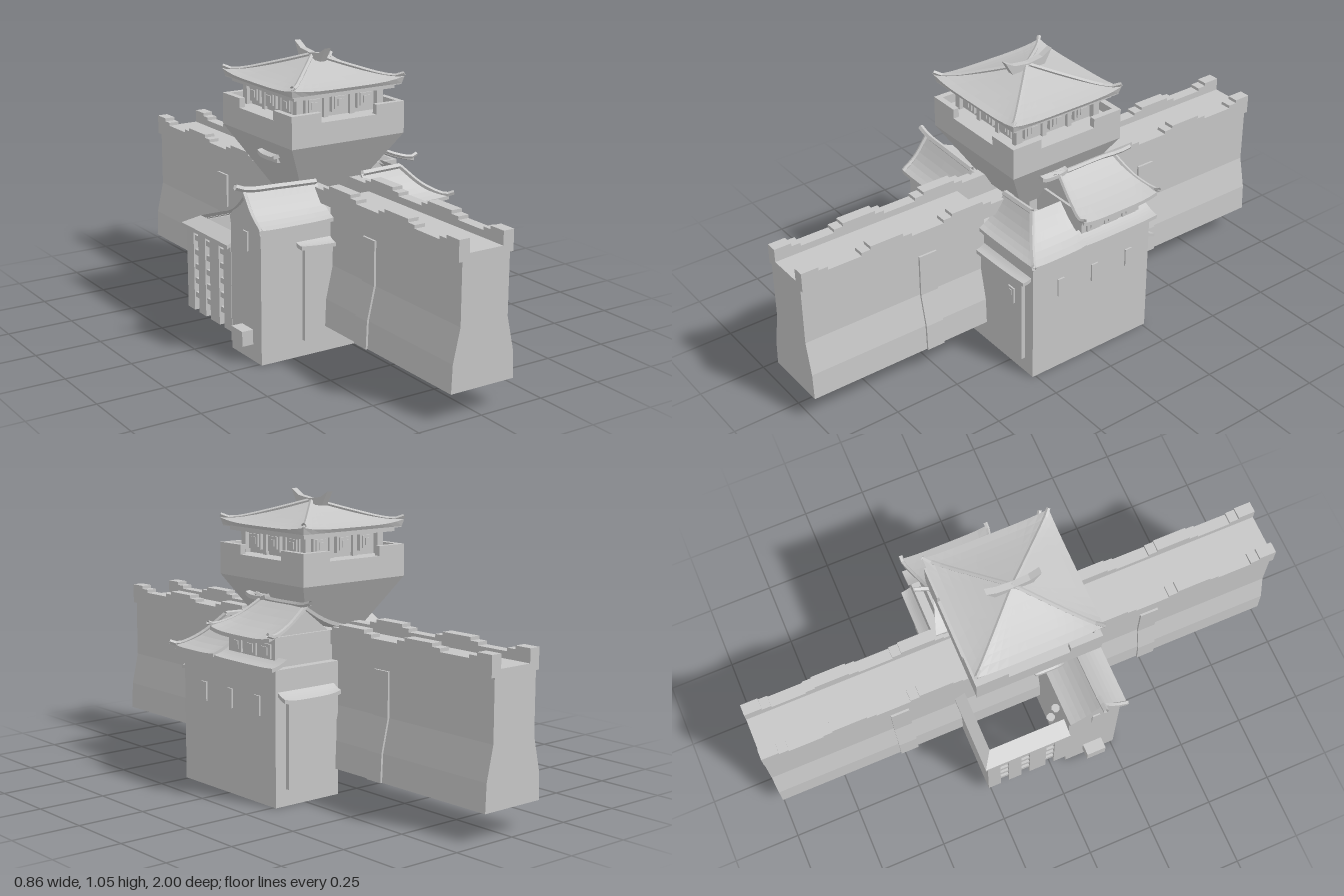
import * as THREE from 'three';

const stone = new THREE.MeshStandardMaterial({ color: 0xc6c6c6, side: THREE.DoubleSide, flatShading: true });
stone.name = 'grey stone';

export function createModel() {
  const model = new THREE.Group();
  model.name = 'gateTower';

  const add = (name, geo, parent = model) => {
    const m = new THREE.Mesh(geo, stone);
    m.name = name;
    parent.add(m);
    return m;
  };
  const box = (name, x0, x1, y0, y1, z0, z1, parent) => {
    const g = new THREE.BoxGeometry(x1 - x0, y1 - y0, z1 - z0);
    g.translate((x0 + x1) / 2, (y0 + y1) / 2, (z0 + z1) / 2);
    return add(name, g, parent);
  };
  // Box without its floor
  const shell = (...args) => {
    const g = box(...args).geometry, idx = Array.from(g.index.array);
    idx.splice(18, 6);
    g.setIndex(idx);
    g.clearGroups();
  };
  const group = (name) => {
    const g = new THREE.Group();
    g.name = name;
    model.add(g);
    return g;
  };
  // Grid surface from a rule f(u, v) -> [x, y, z]
  const sheet = (name, f, nu, nv, parent) => {
    const pos = [], idx = [];
    for (let j = 0; j <= nv; j++) for (let i = 0; i <= nu; i++) pos.push(...f(i / nu, j / nv));
    for (let j = 0; j < nv; j++) for (let i = 0; i < nu; i++) {
      const a = j * (nu + 1) + i, b = a + 1, c = a + nu + 1, d = c + 1;
      idx.push(a, b, d, a, d, c);
    }
    const g = new THREE.BufferGeometry();
    g.setAttribute('position', new THREE.Float32BufferAttribute(pos, 3));
    g.setIndex(idx);
    g.computeVertexNormals();
    return add(name, g, parent);
  };
  // Sagging roof slope of some thickness, from an eave edge to a ridge edge
  const slope = (name, e0, e1, r0, r1, sag = 0.018, lift = 0.008, parent) => {
    const at = (u, v, drop) => {
      const p = [0, 1, 2].map((k) => (e0[k] * (1 - u) + e1[k] * u) * (1 - v) + (r0[k] * (1 - u) + r1[k] * u) * v);
      p[1] += lift * (2 * u - 1) ** 4 * (1 - v) - sag * Math.sin(Math.PI * v) - drop;
      return p;
    };
    sheet(name, (u, v) => at(u, v, 0), 10, 6, parent);
    sheet(name + 'Underside', (u, v) => at(u, v, 0.014), 10, 6, parent);
    sheet(name + 'Edge', (u, v) => at(u, 0, 0.014 * v), 10, 1, parent);
    for (const s of [0, 1]) sheet(name + 'Side', (u, v) => at(s, u, 0.014 * v), 6, 1, parent);
  };
  const ridge = (name, pts, r = 0.008, parent) => {
    const c = new THREE.CatmullRomCurve3(pts.map((p) => new THREE.Vector3(...p)));
    return add(name, new THREE.TubeGeometry(c, 10, r, 5), parent);
  };
  const outline = (pts) => new THREE.Shape(pts.map((p) => new THREE.Vector2(...p)));
  // Outline in (x, y) extruded from z0 to z1
  const prism = (name, pts, z0, z1, parent) => {
    const g = new THREE.ExtrudeGeometry(outline(pts), { depth: z1 - z0, bevelEnabled: false });
    g.translate(0, 0, z0);
    return add(name, g, parent);
  };

  // Long hollow wall with battered foot, open below
  const wall = group('wall');
  const profile = (o, top) => {
    const half = [[0.126 + o, 0.1], [0.122 + o, 0.2], [0.095 + o, 0.32], [0.095 + o, top]];
    return [...half, ...half.map(([x, y]) => [-x, y]).reverse()];
  };
  const hollow = (name, pts, z0, z1) => {
    const n = pts.length - 1;
    sheet(name, (u, v) => [...pts[Math.round(u * n)], z0 + (z1 - z0) * v], n, 1, wall);
    for (const z of [z0, z1]) add(name + 'End', new THREE.ShapeGeometry(outline(pts)).translate(0, 0, z), wall);
  };
  hollow('wallBody', profile(0, 0.56), -1, 0.06);
  hollow('wallBody', profile(0, 0.56), 0.262, 1);
  for (const z of [0.505, -0.485]) hollow('buttress', profile(0.008, 0.48), z - 0.035, z + 0.035);
  // Parapets with stepped merlons
  for (const s of [-1, 1]) {
    const part = (y0, y1, z0, z1) =>
      box('parapet', s > 0 ? 0.067 : -0.109, s > 0 ? 0.109 : -0.067, y0, y1, Math.max(z0, -1), Math.min(z1, 1), wall);
    part(0.535, 0.585, -1, 1);
    for (const c of [-1, -0.67, -0.34, 0.34, 0.67, 1]) {
      part(0.585, 0.597, c - 0.1, c + 0.1);
      part(0.597, 0.609, c - 0.065, c + 0.065);
    }
  }

  // Lower halls, open below
  const hall = group('lowerHall');
  shell('frontHall', -0.378, 0.38, 0, 0.48, 0.06, 0.262, hall);
  shell('sideHall', 0.1, 0.38, 0, 0.48, -0.262, 0.06, hall);
  box('frontPanel', -0.21, 0.335, 0.06, 0.4, 0.262, 0.278, hall);
  box('backPanel', 0.12, 0.335, 0.06, 0.38, -0.278, -0.262, hall);
  slope('frontCanopy', [-0.235, 0.408, 0.297], [0.37, 0.408, 0.297], [-0.235, 0.425, 0.26], [0.37, 0.425, 0.26], 0.003, 0.01, hall);
  slope('backCanopy', [0.12, 0.375, -0.3], [0.37, 0.375, -0.3], [0.12, 0.405, -0.26], [0.37, 0.405, -0.26], 0.003, 0.01, hall);
  for (const [x0, x1] of [[-0.38, -0.1], [0.1, 0.26]]) {
    const attic = prism('attic', [[-0.262, 0.47], [-0.06, 0.47], [-0.06, 0.5], [-0.17, 0.592], [-0.21, 0.54]], x0, x1, hall);
    attic.rotation.y = Math.PI / 2;
  }
  // Small windows
  box('frontWindow', 0.265, 0.297, 0.285, 0.347, 0.262, 0.284, hall);
  box('frontWindowPane', 0.272, 0.29, 0.294, 0.338, 0.284, 0.286, hall);
  for (const z of [0.14, -0.01, -0.165]) box('sideWindow', 0.38, 0.386, 0.31, 0.38, z - 0.014, z + 0.014, hall);
  box('gableWindow', -0.384, -0.378, 0.395, 0.465, 0.15, 0.18, hall);
  box('wallBracket', -0.422, -0.378, 0.06, 0.115, 0.13, 0.205, hall);

  // Lower roofs, parted where the wall walk passes
  const roofs = group('lowerRoofs');
  slope('frontRoofRight', [-0.395, 0.492, 0.282], [-0.095, 0.492, 0.282], [-0.395, 0.605, 0.175], [-0.095, 0.598, 0.175], 0.018, 0.004, roofs);
  slope('frontRoofLeft', [0.095, 0.492, 0.282], [0.41, 0.492, 0.282], [0.095, 0.598, 0.175], [0.26, 0.602, 0.175], 0.018, 0.004, roofs);
  slope('backRoof', [-0.395, 0.52, 0.055], [-0.1, 0.52, 0.055], [-0.395, 0.605, 0.175], [-0.1, 0.598, 0.175], 0.012, 0.004, roofs);
  slope('cornerRoof', [0.41, 0.492, 0.282], [0.41, 0.492, 0.05], [0.26, 0.602, 0.175], [0.26, 0.602, 0.05], 0.018, 0.006, roofs);
  slope('skirtRoof', [0.405, 0.488, 0.06], [0.405, 0.488, -0.275], [0.34, 0.515, 0.06], [0.34, 0.515, -0.275], 0.004, 0.004, roofs);
  ridge('frontRidge', [[-0.425, 0.63, 0.175], [-0.38, 0.615, 0.175], [-0.25, 0.608, 0.175], [-0.1, 0.602, 0.175]], 0.011, roofs);
  ridge('frontRidge', [[0.1, 0.602, 0.175], [0.18, 0.604, 0.175], [0.26, 0.606, 0.175]], 0.011, roofs);
  ridge('cornerHip', [[0.26, 0.606, 0.175], [0.33, 0.535, 0.228], [0.4, 0.5, 0.275], [0.425, 0.508, 0.292]], 0.009, roofs);
  ridge('gableRib', [[-0.39, 0.605, 0.175], [-0.39, 0.535, 0.23], [-0.39, 0.497, 0.282]], 0.008, roofs);

  // Raised room with its gabled roof
  const upper = group('sideRoom');
  box('sideRoomWalls', 0.1, 0.355, 0.48, 0.585, -0.23, 0.03, upper);
  for (const z of [-0.02, -0.1, -0.18]) {
    box('sideRoomWindow', 0.355, 0.362, 0.51, 0.56, z - 0.03, z + 0.03, upper);
    box('sideRoomPane', 0.362, 0.366, 0.52, 0.55, z - 0.016, z + 0.016, upper);
  }
  prism('gable', [[0.1, 0.575], [0.36, 0.575], [0.28, 0.618], [0.21, 0.66]], -0.22, 0.02, upper);
  slope('outerSlope', [0.41, 0.582, 0.065], [0.41, 0.582, -0.265], [0.21, 0.678, 0.02], [0.21, 0.678, -0.22], 0.012, 0.012, upper);
  slope('innerSlope', [0.08, 0.6, 0.05], [0.08, 0.6, -0.265], [0.21, 0.678, 0.02], [0.21, 0.678, -0.22], 0.01, 0.008, upper);
  ridge('sideRidge', [[0.215, 0.692, 0.05], [0.215, 0.682, 0.01], [0.215, 0.68, -0.18], [0.23, 0.686, -0.235], [0.24, 0.698, -0.28]], 0.009, upper);
  for (const [z, t] of [[0.02, 0.068], [-0.22, -0.268]])
    ridge('sideRib', [[0.21, 0.68, z], [0.31, 0.62, (z + t) / 2], [0.395, 0.598, t], [0.418, 0.607, t]], 0.008, upper);

  // Open yard: comb-like side wall and low coping
  const yard = group('yard');
  box('yardBackWall', -0.38, -0.1, 0.06, 0.39, -0.262, -0.242, yard);
  const slots = [-0.195, -0.11, -0.01];
  let start = -0.262;
  for (const z of [...slots, 0.077]) {
    box('yardPost', -0.38, -0.36, 0.06, 0.39, start, z - 0.017, yard);
    start = z + 0.017;
  }
  box('yardLintel', -0.38, -0.36, 0.36, 0.39, -0.262, 0.06, yard);
  for (const z of slots) for (let i = 0; i < 5; i++)
    box('slotRail', -0.375, -0.365, 0.11 + i * 0.055, 0.13 + i * 0.055, z - 0.017, z + 0.017, yard);
  slope('sideCoping', [-0.395, 0.385, -0.275], [-0.395, 0.385, 0.06], [-0.335, 0.412, -0.235], [-0.335, 0.412, 0.06], 0, 0, yard);
  slope('backCoping', [-0.395, 0.385, -0.275], [-0.1, 0.385, -0.275], [-0.335, 0.412, -0.235], [-0.1, 0.412, -0.235], 0, 0, yard);
  for (const [x, z] of [[-0.315, 0.015], [-0.29, 0.045]]) {
    const lamp = add('lantern', new THREE.CylinderGeometry(0.016, 0.012, 0.03, 8), yard);
    lamp.position.set(x, 0.42, z);
  }

  // Tower: flaring body, parapet with a gap on each side
  const tower = group('tower');
  const flare = new THREE.CylinderGeometry(0.235 * Math.SQRT2, 0.108 * Math.SQRT2, 0.215, 4, 1, true);
  flare.rotateY(Math.PI / 4);
  flare.translate(0, 0.6375, 0);
  add('towerFlare', flare, tower);
  box('towerDeck', -0.235, 0.235, 0.745, 0.826, -0.235, 0.235, tower);
  box('lookoutRoom', -0.16, 0.16, 0.82, 0.925, -0.16, 0.16, tower);
  box('lookoutPlate', -0.21, 0.21, 0.906, 0.922, -0.21, 0.21, tower);
  box('eaveBoard', -0.228, 0.228, 0.921, 0.936, -0.228, 0.228, tower);

  for (let k = 0; k < 4; k++) {
    const side = group('towerSide');
    tower.add(side);
    side.rotation.y = (k * Math.PI) / 2;
    for (const s of [-1, 1]) {
      box('deckRail', s > 0 ? 0.115 : -0.235, s > 0 ? 0.235 : -0.115, 0.82, 0.861, 0.213, 0.235, side);
      box('lookoutPost', s * 0.17 - 0.011, s * 0.17 + 0.011, 0.82, 0.91, 0.155, 0.181, side);
    }
    // Square windows in raised frames
    for (const x of [-0.108, 0, 0.108]) {
      box('windowFrame', x - 0.033, x + 0.033, 0.842, 0.905, 0.16, 0.176, side);
      box('windowSash', x - 0.024, x + 0.024, 0.852, 0.897, 0.176, 0.182, side);
      box('windowPane', x - 0.013, x + 0.013, 0.862, 0.887, 0.182, 0.186, side);
    }
    for (const x of [-0.055, 0.055]) box('lookoutStud', x - 0.009, x + 0.009, 0.826, 0.91, 0.16, 0.173, side);
    // Curved quarter of the roof with lifted corners
    sheet('towerRoof', (u, v) => {
      const t = 2 * u - 1, r = 0.235 * (1 - v);
      return [t * r, 0.936 + 0.078 * v ** 1.25 + 0.014 * t ** 4 * (1 - v) ** 3, r];
    }, 12, 8, side);
    sheet('roofFascia', (u, v) => {
      const t = 2 * u - 1;
      return [t * (0.235 - 0.007 * v), 0.936 + 0.014 * t ** 4 - (0.012 + 0.014 * t ** 4) * v, 0.235 - 0.007 * v];
    }, 12, 1, side);
    ridge('roofHip', [[0, 1.016, 0], [0.1, 0.979, 0.1], [0.19, 0.951, 0.19], [0.222, 0.951, 0.222], [0.235, 0.96, 0.234]], 0.008, side);
  }

  // Top ridge rising to horns
  const crest = prism('crest', [[-0.1, 1.052], [-0.07, 1.0], [0.07, 1.0], [0.1, 1.052], [0.06, 1.03], [0, 1.022], [-0.06, 1.03]], -0.012, 0.012, tower);
  crest.rotation.y = Math.PI / 2;

  // Hooded openings on the flared sides
  for (const s of [-1, 1]) {
    slope('hood', [s * 0.225, 0.685, -0.01], [s * 0.225, 0.685, 0.1], [s * 0.185, 0.7, -0.01], [s * 0.185, 0.7, 0.1], 0, 0.01, tower);
    box('hoodOpening', s > 0 ? 0.16 : -0.2, s > 0 ? 0.2 : -0.16, 0.66, 0.69, 0.01, 0.08, tower);
  }
  return model;
}
